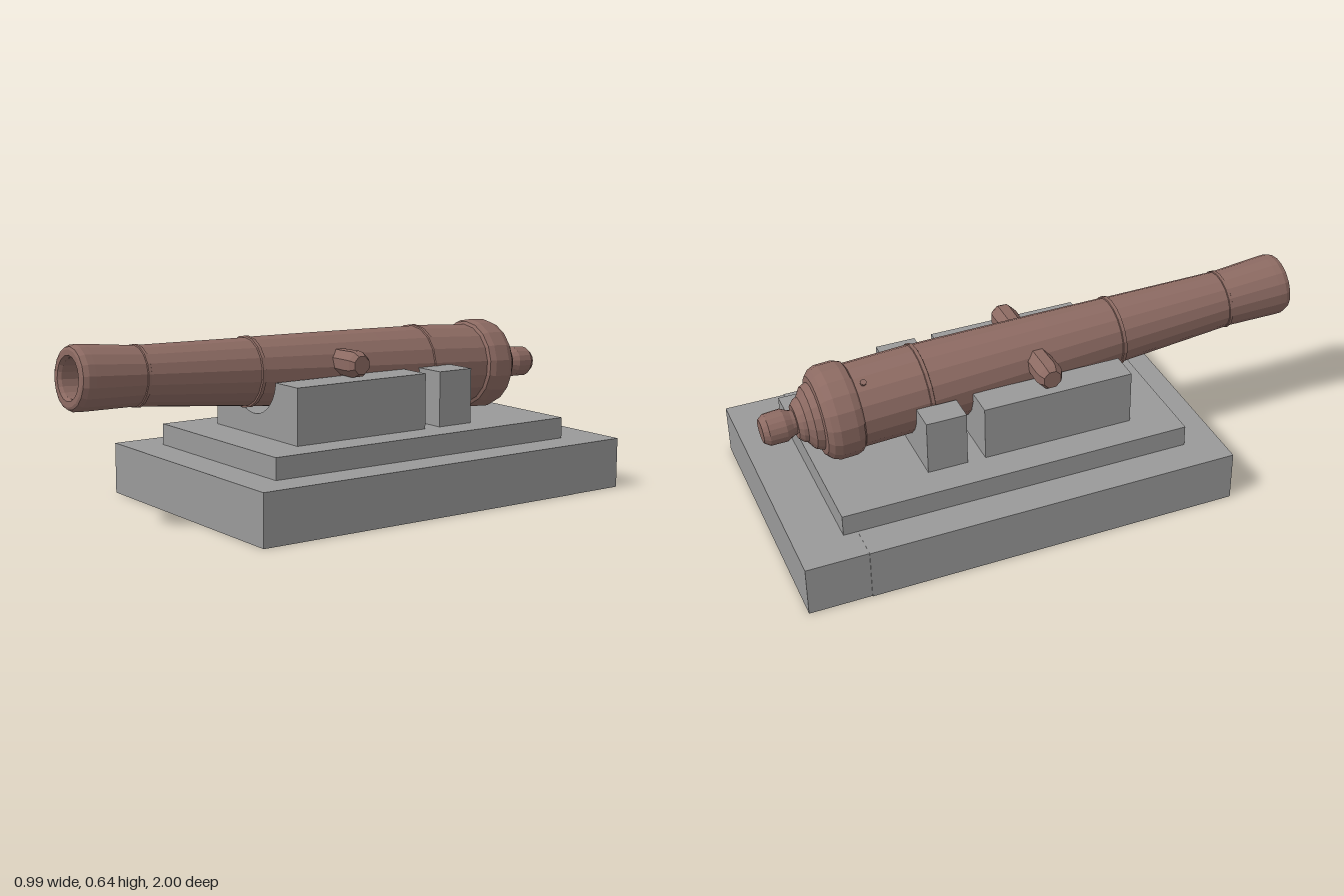
import * as THREE from 'three';

export function createModel() {
  const model = new THREE.Group();
  const stone = new THREE.MeshStandardMaterial({ color: 0x999999 });
  stone.name = 'grey stone';
  const iron = new THREE.MeshStandardMaterial({ color: 0x8c6a62, flatShading: true });
  iron.name = 'rusty iron';

  const add = (name, geometry, material, parent = model) => {
    const mesh = new THREE.Mesh(geometry, material);
    mesh.name = name;
    parent.add(mesh);
    return mesh;
  };

  // Box given by half width, y range and z range
  const slab = (name, hw, y0, y1, z0, z1) =>
    add(name, new THREE.BoxGeometry(hw * 2, y1 - y0, z1 - z0), stone)
      .position.set(0, (y0 + y1) / 2, (z0 + z1) / 2);

  // Stepped plinth
  slab('plinthFront', 0.494, 0, 0.185, -0.78, 0.57);
  slab('plinthRear', 0.491, 0, 0.184, -1, -0.78);
  slab('plinthStep', 0.37, 0.185, 0.262, -0.83, 0.44);

  // Cradle blocks with a round groove for the barrel
  const cradle = (name, z0, z1, r, cy) => {
    const hw = 0.257, top = 0.462, cx = -0.012;
    const a = Math.asin((top - cy) / r);
    const s = new THREE.Shape();
    s.moveTo(-hw, 0.262);
    s.lineTo(hw, 0.262);
    s.lineTo(hw, top);
    s.lineTo(cx + r * Math.cos(a), top);
    s.absarc(cx, cy, r, a, -Math.PI - a, true);
    s.lineTo(-hw, top);
    s.closePath();
    const g = new THREE.ExtrudeGeometry(s, { depth: z1 - z0, bevelEnabled: false, curveSegments: 16 });
    add(name, g.translate(0, 0, z0), stone);
  };
  cradle('mainCradle', -0.275, 0.277, 0.138, 0.475);
  cradle('rearCradle', -0.485, -0.34, 0.15, 0.447);

  // Barrel, turned about its slightly raised axis
  const gun = new THREE.Group();
  gun.name = 'gun';
  gun.position.set(-0.01, 0.47, 0);
  gun.rotation.x = -0.056;
  model.add(gun);

  const turned = (points, sides, start = 0) =>
    new THREE.LatheGeometry(points.map(([r, t]) => new THREE.Vector2(r, t)), sides, start);

  const barrel = [
    // knob and neck
    [0, -0.99], [0.042, -0.99], [0.056, -0.97], [0.058, -0.91], [0.045, -0.885], [0.042, -0.872],
    // stepped breech
    [0.06, -0.872], [0.075, -0.858], [0.08, -0.845], [0.11, -0.825], [0.12, -0.8], [0.14, -0.797],
    // base ring
    [0.158, -0.78], [0.168, -0.755], [0.168, -0.695], [0.16, -0.672], [0.149, -0.665],
    // tapering tube with small reinforcing steps
    [0.15, -0.43], [0.153, -0.428], [0.153, -0.415], [0.148, -0.413],
    [0.141, -0.2], [0.132, 0.05], [0.122, 0.305],
    [0.126, 0.307], [0.126, 0.32], [0.12, 0.322],
    [0.104, 0.742], [0.107, 0.744], [0.107, 0.755], [0.103, 0.757],
    // muzzle and bore
    [0.112, 0.95], [0.112, 0.975], [0.104, 0.993], [0.095, 0.997],
    [0.076, 0.997], [0.068, 0.985], [0.068, 0.55], [0, 0.55],
  ];
  add('barrel', turned(barrel, 18).rotateX(Math.PI / 2), iron, gun);

  // Touch hole rim on the breech
  const vent = add('touchHole', new THREE.CylinderGeometry(0.011, 0.011, 0.012, 8), iron, gun);
  vent.position.set(-0.072, 0.13, -0.635);
  vent.rotation.z = 0.5;

  // Trunnions: one chamfered octagonal bar through the barrel
  const bar = [[0, -0.234], [0.034, -0.234], [0.046, -0.215], [0.049, -0.195], [0.047, -0.12],
    [0.047, 0.12], [0.049, 0.195], [0.046, 0.215], [0.034, 0.234], [0, 0.234]];
  add('trunnions', turned(bar, 8, Math.PI / 8).rotateZ(Math.PI / 2), iron)
    .position.set(-0.01, 0.509, -0.018);

  return model;
}
